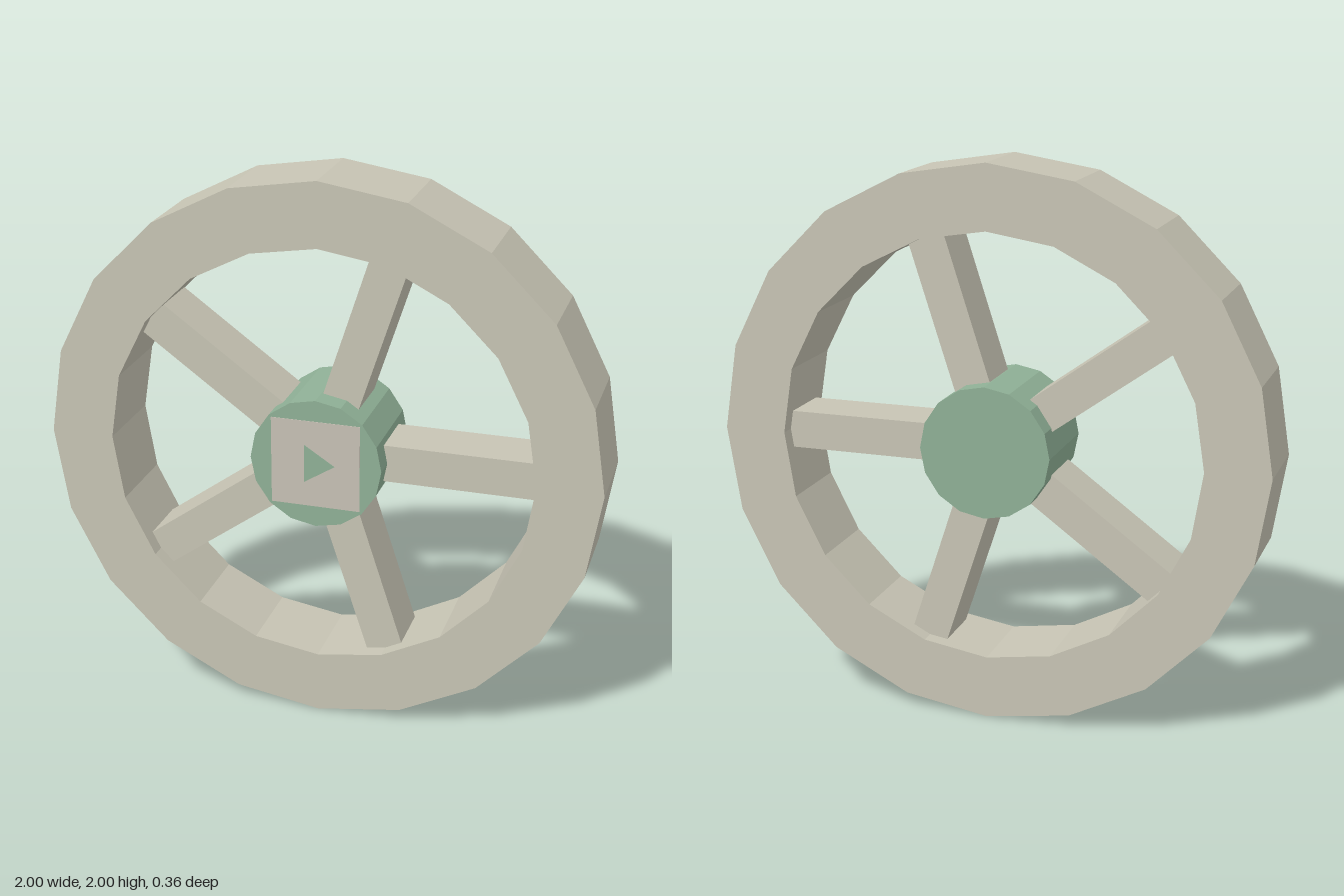
import * as THREE from 'three';

const RIM_SIDES = 20, SPOKES = 5, HUB_HALF = 0.177;

// Corner points of a regular polygon with a corner on the +x axis
function ring(radius, sides) {
  return Array.from({ length: sides }, (_, i) => {
    const a = (i / sides) * Math.PI * 2;
    return new THREE.Vector2(Math.cos(a) * radius, Math.sin(a) * radius);
  });
}

export function createModel() {
  const stone = new THREE.MeshStandardMaterial({ color: 0xc7c4b4, flatShading: true });
  stone.name = 'warm grey';
  const plateGrey = new THREE.MeshStandardMaterial({ color: 0xc7c1b5, flatShading: true });
  plateGrey.name = 'plate grey';
  const green = new THREE.MeshStandardMaterial({ color: 0x8fb096, flatShading: true });
  green.name = 'sage green';

  const wheel = new THREE.Group();
  wheel.name = 'wheel';
  wheel.position.y = 1;

  const add = (name, geometry, material) => {
    const mesh = new THREE.Mesh(geometry, material);
    mesh.name = name;
    wheel.add(mesh);
    return mesh;
  };

  // Faceted rim
  const rimShape = new THREE.Shape(ring(1, RIM_SIDES));
  rimShape.holes.push(new THREE.Path(ring(0.77, RIM_SIDES)));
  const rim = new THREE.ExtrudeGeometry(rimShape, { depth: 0.31, bevelEnabled: false });
  add('rim', rim.translate(0, 0, -0.155), stone);

  // Spokes, with both ends sunk into the hub and rim
  const spoke = new THREE.BoxGeometry(0.62, 0.135, 0.2).translate(0.46, 0, 0);
  for (let i = 0; i < SPOKES; i++) {
    add('spoke', spoke, stone).rotation.z = (i / SPOKES) * Math.PI * 2;
  }

  // Hub
  add('hub', new THREE.CylinderGeometry(0.237, 0.237, HUB_HALF * 2, 16).rotateX(Math.PI / 2), green);

  // Square plate on the front of the hub, with a triangular marker
  add('hubPlate', new THREE.BoxGeometry(0.32, 0.32, 0.004), plateGrey).position.z = HUB_HALF;
  const marker = new THREE.Shape([
    new THREE.Vector2(-0.04, -0.07),
    new THREE.Vector2(0.07, 0),
    new THREE.Vector2(-0.04, 0.07),
  ]);
  add('triangleMarker', new THREE.ExtrudeGeometry(marker, { depth: 0.004, bevelEnabled: false }), green)
    .position.z = HUB_HALF;

  const model = new THREE.Group();
  model.name = 'spokedWheel';
  model.add(wheel);
  return model;
}
